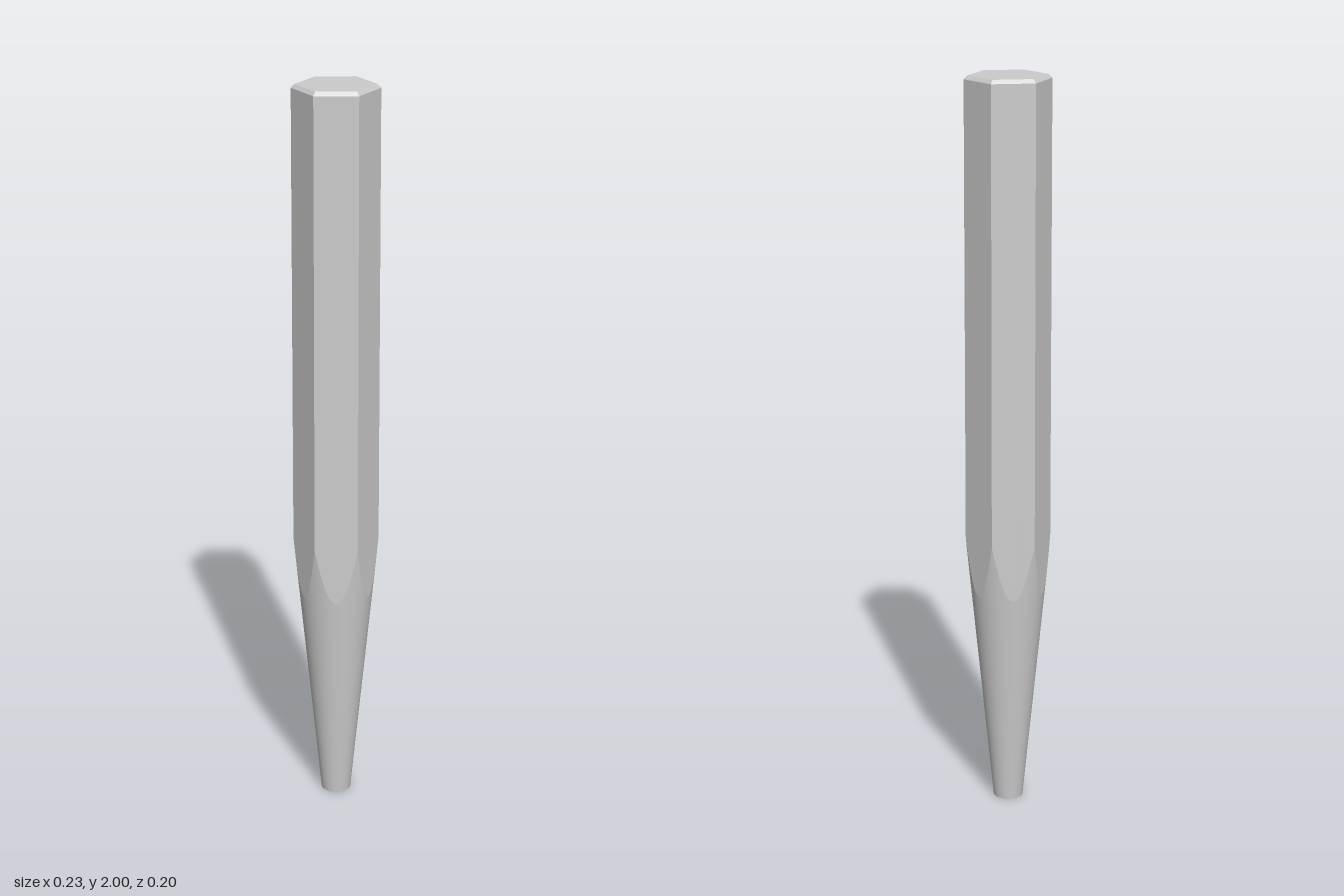
import * as THREE from 'three';

const APOTHEM = 0.1, CORNER = APOTHEM / Math.cos(Math.PI / 6);
const TIP = 0.04, SLOPE = 0.1;          // cone radius = TIP + SLOPE * y
const TOP = 2, CHAMFER = 0.01;
const STEPS = 16, SECTOR = Math.PI / 3; // divisions per flat

// Radius of the hexagon at an angle (corners on the x axis)
const hexRadius = a => {
  const local = ((a % SECTOR) + SECTOR) % SECTOR - SECTOR / 2;
  return APOTHEM / Math.cos(local);
};
// Height at which the cone cuts the hexagonal bar
const seam = a => (hexRadius(a) - TIP) / SLOPE;

// Wall between two closed rings; each ring maps an angle to [radius, y]
function wall(low, high) {
  const pos = [], n = STEPS * 6;
  const point = (ring, i) => {
    const a = (i % n) / n * Math.PI * 2, [r, y] = ring(a);
    return [r * Math.cos(a), y, r * Math.sin(a)];
  };
  for (let i = 0; i < n; i++) {
    const a = point(low, i), b = point(high, i), c = point(high, i + 1), d = point(low, i + 1);
    pos.push(...a, ...b, ...c, ...a, ...c, ...d);
  }
  const geo = new THREE.BufferGeometry();
  geo.setAttribute('position', new THREE.Float32BufferAttribute(pos, 3));
  geo.computeVertexNormals();
  return geo;
}

export function createModel() {
  const group = new THREE.Group();
  group.name = 'punch';
  const smooth = new THREE.MeshStandardMaterial({ color: 0xcccccc });
  const flat = new THREE.MeshStandardMaterial({ color: 0xcccccc, flatShading: true });
  const add = (name, geo, mat) => {
    const mesh = new THREE.Mesh(geo, mat);
    mesh.name = name;
    group.add(mesh);
    return mesh;
  };

  // Hexagonal bar, scalloped at its lower end
  add('hexShank', wall(a => [hexRadius(a), seam(a)], a => [hexRadius(a), TOP - CHAMFER]), flat);

  // Tapered point with smooth cone normals
  const cone = wall(() => [TIP, 0], a => [hexRadius(a), seam(a)]);
  const p = cone.attributes.position, normal = new THREE.Vector3();
  for (let i = 0; i < p.count; i++) {
    normal.set(p.getX(i), 0, p.getZ(i)).normalize().setY(-SLOPE).normalize();
    cone.attributes.normal.setXYZ(i, normal.x, normal.y, normal.z);
  }
  add('taperedPoint', cone, smooth);

  // Chamfered striking end
  const inner = CORNER - 0.01;
  add('topChamfer', new THREE.CylinderGeometry(inner, CORNER, CHAMFER, 6, 1, true, Math.PI / 2), flat)
    .position.y = TOP - CHAMFER / 2;
  add('strikingFace', new THREE.CircleGeometry(inner, 6).rotateX(-Math.PI / 2), flat).position.y = TOP;

  // Flat tip
  add('tipFace', new THREE.CircleGeometry(TIP, STEPS * 6).rotateX(Math.PI / 2), flat);
  return group;
}
